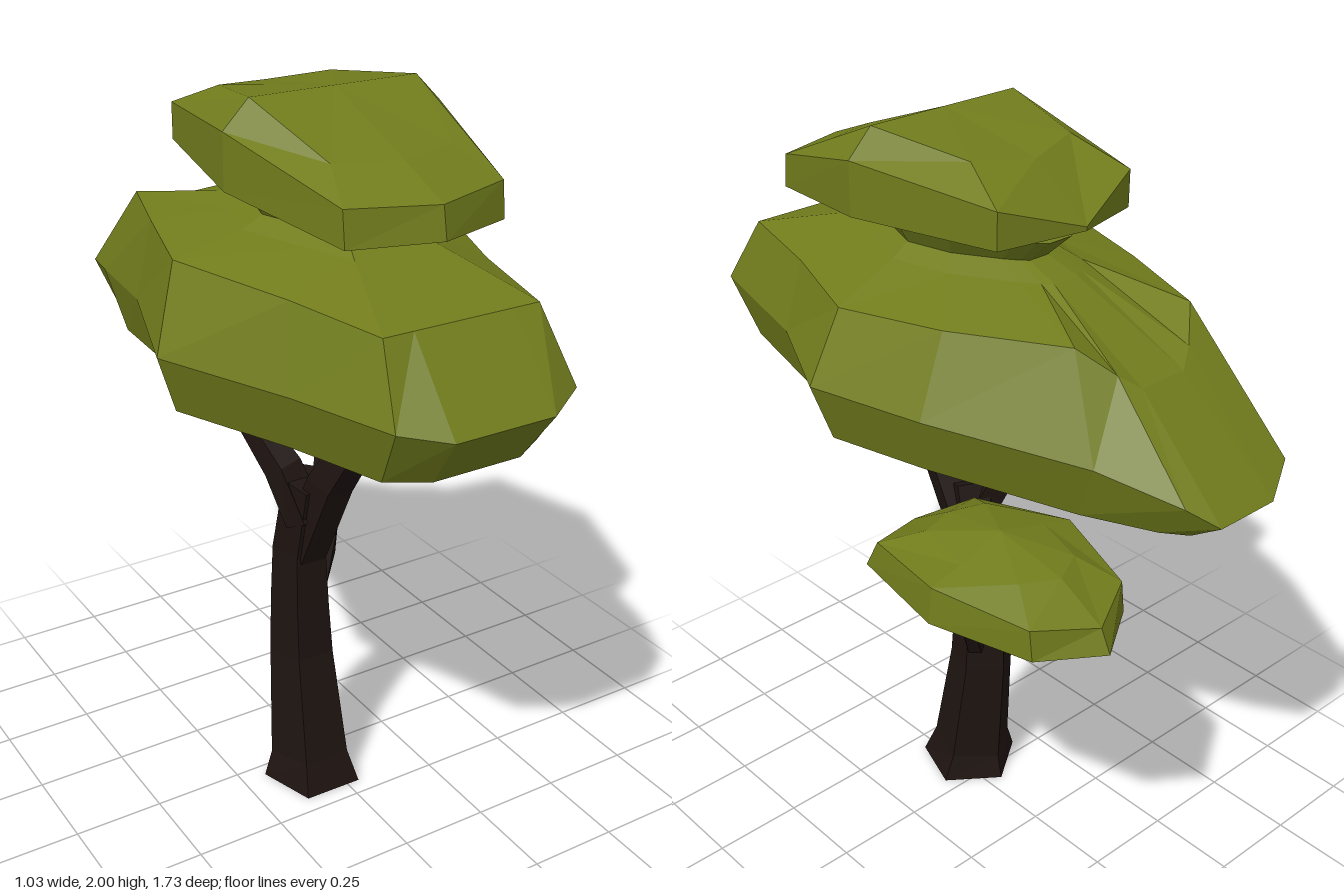
import * as THREE from 'three';

const V = (p) => new THREE.Vector3(...p);
const leafMat = new THREE.MeshStandardMaterial({ color: 0x717c1c, flatShading: true });
const barkMat = new THREE.MeshStandardMaterial({ color: 0x1e1411, flatShading: true });

// Skin a stack of closed rings (bottom to top) and close both ends with fans
function loft(name, rings, mat, top) {
  const n = rings[0].length, pos = [], idx = [];
  rings.forEach((r) => r.forEach((p) => pos.push(...p)));
  for (let k = 0; k < rings.length - 1; k++)
    for (let i = 0; i < n; i++) {
      const a = k * n + i, b = k * n + ((i + 1) % n);
      idx.push(a, b, b + n, a, b + n, a + n);
    }
  const mean = (r) => [0, 1, 2].map((c) => r.reduce((s, p) => s + p[c], 0) / n);
  const last = (rings.length - 1) * n, c = rings.length * n;
  pos.push(...mean(rings[0]), ...(top || mean(rings[rings.length - 1])));
  for (let i = 0; i < n; i++) {
    const j = (i + 1) % n;
    idx.push(c, j, i, c + 1, last + i, last + j);
  }
  const g = new THREE.BufferGeometry();
  g.setAttribute('position', new THREE.Float32BufferAttribute(pos, 3));
  g.setIndex(idx);
  const flat = g.toNonIndexed();
  flat.computeVertexNormals();
  const mesh = new THREE.Mesh(flat, mat);
  mesh.name = name;
  return mesh;
}

// Five-sided limb through points [x, y, z, radius]
function limb(name, pts, sides = 5) {
  const rings = pts.map((p, k) => {
    const t = V(pts[Math.min(k + 1, pts.length - 1)].slice(0, 3))
      .sub(V(pts[Math.max(k - 1, 0)].slice(0, 3)));
    if (p[1] === 0) t.set(0, 1, 0);
    t.normalize();
    const v = new THREE.Vector3(1, 0, 0).cross(t).negate().normalize();
    const u = v.clone().cross(t);
    return Array.from({ length: sides }, (_, i) => {
      const a = (i / sides) * Math.PI * 2 + 0.3;
      return V(p.slice(0, 3)).addScaledVector(u, p[3] * Math.cos(a))
        .addScaledVector(v, p[3] * Math.sin(a)).toArray();
    });
  });
  return loft(name, rings, barkMat);
}

// Mirror a half ring (front to back, first and last on the axis) about x = cx
function mirrored(cx, half) {
  const right = half.map(([x, y, z]) => [cx + x, y, z]);
  const left = half.slice(1, -1).reverse().map(([x, y, z]) => [cx - x, y, z]);
  return [...right, ...left];
}

// Shrink a ring towards (cx, cz) and give it a new height
const shrink = (ring, cx, cz, s, y) => ring.map((p) =>
  [cx + (p[0] - cx) * s, typeof y === 'function' ? y(p) : y, cz + (p[2] - cz) * s]);

export function createModel() {
  const tree = new THREE.Group();
  tree.name = 'tree';

  // Trunk and limbs
  tree.add(
    limb('trunk', [[-0.045, 0, 0.085, 0.142], [-0.048, 0.08, 0.075, 0.114], [-0.052, 0.4, 0.038, 0.092],
      [-0.06, 0.57, 0.042, 0.084], [-0.067, 0.74, 0.052, 0.076], [-0.07, 0.96, 0.105, 0.07]]),
    limb('frontLimb', [[-0.062, 0.72, 0.06, 0.065], [-0.045, 0.98, 0.17, 0.065],
      [-0.01, 1.12, 0.24, 0.058], [0.012, 1.28, 0.32, 0.048]]),
    limb('backLimb', [[-0.075, 0.84, 0.1, 0.06], [-0.11, 0.98, 0.04, 0.055],
      [-0.155, 1.1, -0.06, 0.042], [-0.17, 1.28, -0.155, 0.034]]),
    limb('sideBranch', [[-0.05, 0.6, 0.05, 0.07], [0.03, 0.68, -0.02, 0.065],
      [0.17, 0.77, -0.18, 0.045], [0.21, 0.86, -0.25, 0.042], [0.25, 0.98, -0.3, 0.034]]),
    limb('sideTwig', [[0.19, 0.83, -0.23, 0.032], [0.28, 0.815, -0.32, 0.029],
      [0.36, 0.87, -0.39, 0.027], [0.42, 0.99, -0.43, 0.022]]),
  );

  // Large middle crown: widest rim and the shoulder above it
  const rim = [[-0.17, 1.4, 0.865], [0.1, 1.4, 0.865], [0.21, 1.42, 0.8], [0.31, 1.42, 0.4],
    [0.458, 1.42, 0.1], [0.38, 1.42, -0.22], [0.19, 1.38, -0.6], [0.1, 1.33, -0.8],
    [0.05, 1.29, -0.865], [-0.13, 1.29, -0.865], [-0.25, 1.33, -0.8], [-0.33, 1.39, -0.55],
    [-0.39, 1.42, -0.22], [-0.52, 1.42, 0.16], [-0.37, 1.42, 0.52], [-0.28, 1.42, 0.8]];
  const shoulder = [[-0.17, 1.6, 0.7], [0.1, 1.6, 0.7], [0.17, 1.6, 0.7], [0.25, 1.6, 0.4],
    [0.36, 1.6, 0.1], [0.29, 1.62, -0.2], [0.13, 1.62, -0.47], [0.07, 1.56, -0.55],
    [0.03, 1.53, -0.59], [-0.11, 1.53, -0.59], [-0.17, 1.56, -0.55], [-0.26, 1.62, -0.47],
    [-0.35, 1.63, -0.2], [-0.44, 1.63, 0.1], [-0.33, 1.62, 0.45], [-0.25, 1.6, 0.7]];
  tree.add(loft('middleCrown', [
    shrink(rim, -0.04, 0, 0.6, 1.23),
    shrink(rim, -0.04, 0, 0.89, (p) => (p[2] < -0.5 ? 1.225 : 1.265)),
    rim, shoulder,
    shrink(shoulder, -0.035, 0.12, 0.55, 1.675),
    shrink(shoulder, -0.035, 0.12, 0.42, 1.705),
    shrink(shoulder, -0.035, 0.12, 0.52, 1.77),
  ], leafMat));

  // Tilted top crown
  const topLow = mirrored(-0.03, [[0, 1.75, 0.615], [0.215, 1.745, 0.54], [0.3, 1.79, 0.155],
    [0.215, 1.805, -0.27], [0, 1.82, -0.34]]);
  const topHigh = mirrored(-0.03, [[0, 1.83, 0.6], [0.215, 1.835, 0.53], [0.3, 1.93, 0.155],
    [0.215, 1.9, -0.27], [0, 1.83, -0.34]]);
  const topInner = mirrored(-0.03, [[0, 1.89, 0.45], [0.165, 1.895, 0.4], [0.23, 2, 0.155],
    [0.16, 1.965, -0.12], [0, 1.95, -0.17]]);
  tree.add(loft('topCrown',
    [shrink(topLow, -0.03, 0.14, 0.68, (p) => 1.755 - 0.04 * p[2]), topLow, topHigh, topInner],
    leafMat, [-0.03, 2, 0.155]));

  // Small crown on the side branch
  const sideLow = mirrored(0.28, [[0, 1, -0.02], [0.165, 0.99, -0.08], [0.235, 1.01, -0.4],
    [0.15, 1, -0.66], [0, 1, -0.76]]);
  const sideHigh = mirrored(0.28, [[0, 1.05, -0.07], [0.16, 1.07, -0.12], [0.225, 1.105, -0.4],
    [0.15, 1.08, -0.65], [0, 1.06, -0.73]]);
  tree.add(loft('sideCrown', [
    shrink(sideLow, 0.28, -0.39, 0.55, 0.945), sideLow, sideHigh,
    shrink(sideHigh, 0.28, -0.4, 0.6, 1.13),
  ], leafMat, [0.28, 1.163, -0.39]));

  return tree;
}
